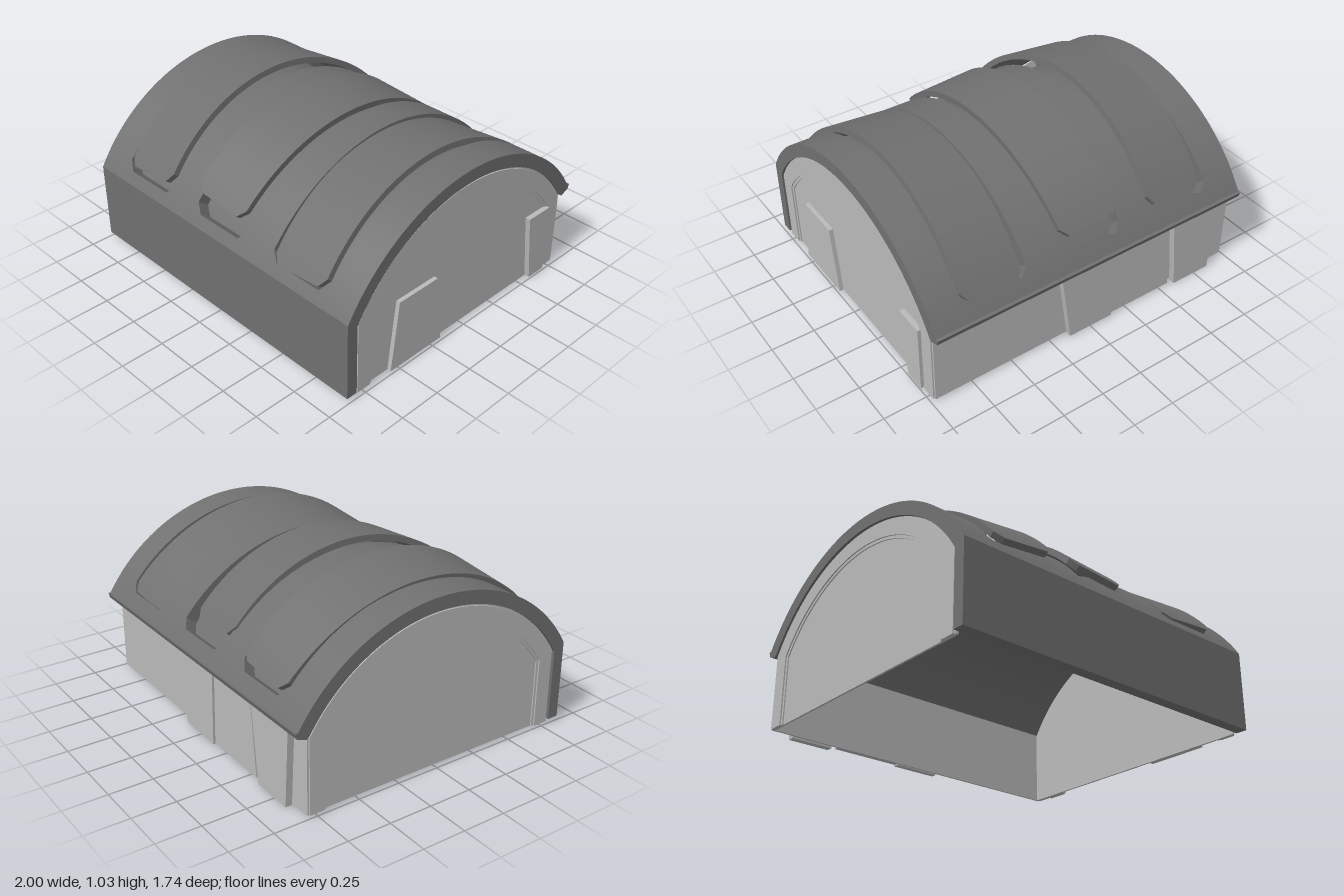
import * as THREE from 'three';
import { toCreasedNormals } from 'three/addons/utils/BufferGeometryUtils.js';

const CY = -0.037;                 // height of the vault's axis
const R_OUT = 1.012, R_IN = 0.937; // roof radii
const FRONT = 59.1, BACK = -58;    // roof edges, degrees from the ridge
const X0 = -1, X1 = 0.99;          // roof ends
const HOLE_FRONT = 55.1, HOLE_BACK = -53.2;

// Curved slab lofted through [angle, leftX, rightX] sections, angle 0 at the ridge, positive to the front
function arcSlab(sections, rOut, rIn) {
  const rings = sections.map(([deg, xl, xr]) => {
    const a = THREE.MathUtils.degToRad(deg);
    const p = (x, r) => [x, r * Math.cos(a) + CY, r * Math.sin(a)];
    return [p(xl, rOut), p(xr, rOut), p(xr, rIn), p(xl, rIn)];
  });
  const pos = [];
  const quad = (a, b, c, d) => pos.push(...a, ...b, ...c, ...a, ...c, ...d);
  for (let i = 0; i < rings.length - 1; i++) {
    for (let j = 0; j < 4; j++) {
      const k = (j + 1) % 4;
      quad(rings[i][j], rings[i + 1][j], rings[i + 1][k], rings[i][k]);
    }
  }
  quad(...rings[0]);
  quad(...[...rings[rings.length - 1]].reverse());
  const g = new THREE.BufferGeometry();
  g.setAttribute('position', new THREE.Float32BufferAttribute(pos, 3));
  return toCreasedNormals(g, 0.4);
}

// Evenly spaced sections of constant width
function span(a0, a1, xl, xr, n) {
  return Array.from({ length: n + 1 }, (_, i) => [a0 + (a1 - a0) * i / n, xl, xr]);
}

// Extrude a [z, y] outline along x
function extrudeX(shape, x0, x1) {
  const g = new THREE.ExtrudeGeometry(shape, { depth: x1 - x0, bevelEnabled: false });
  g.rotateY(Math.PI / 2);
  g.translate(x0, 0, 0);
  return toCreasedNormals(g, 0.4);
}
const outline = pts => new THREE.Shape(pts.map(([z, y]) => new THREE.Vector2(-z, y)));

// Arch with straight legs, as [z, y] points
function archPoints(r, halfWidth, y0) {
  const a = Math.asin(halfWidth / r), n = 40, pts = [[halfWidth, y0]];
  for (let i = 0; i <= n; i++) {
    const t = a - 2 * a * i / n;
    pts.push([r * Math.sin(t), r * Math.cos(t) + CY]);
  }
  pts.push([-halfWidth, y0]);
  return pts;
}

// Arched band open at the bottom
function archBand(rOut, wOut, rIn, wIn) {
  return outline([...archPoints(rOut, wOut, 0.012), ...archPoints(rIn, wIn, 0.012).reverse()]);
}

export function createModel() {
  const model = new THREE.Group();
  const dark = new THREE.MeshStandardMaterial({ color: 0x707070 });
  dark.name = 'dark grey roofing';
  const light = new THREE.MeshStandardMaterial({ color: 0xb9b9b9 });
  light.name = 'light grey wall';

  const add = (parent, name, geometry, material) => {
    const m = new THREE.Mesh(geometry, material);
    m.name = name;
    parent.add(m);
    return m;
  };
  const group = name => {
    const g = new THREE.Group();
    g.name = name;
    model.add(g);
    return g;
  };

  // Vaulted roof: full ribs between three chamfered recesses, over a continuous lining
  const roof = group('roof');
  add(roof, 'roofLining', arcSlab(span(BACK, FRONT, -0.98, 0.97, 56), R_IN, R_IN - 0.012), dark);
  for (const [a, b] of [[X0, -0.8], [-0.4, -0.2], [0.2, 0.4], [0.8, X1]]) {
    add(roof, 'roofRib', arcSlab(span(BACK, FRONT, a, b, 56), R_OUT, R_IN), dark);
  }
  for (const a of [-0.8, -0.2, 0.4]) {
    const b = a + 0.4, c = 0.05, d = 3;
    add(roof, 'roofFrontEdge', arcSlab(span(HOLE_FRONT, FRONT, a, b, 2), R_OUT, R_IN), dark);
    add(roof, 'roofBackEdge', arcSlab(span(BACK, HOLE_BACK, a, b, 3), R_OUT, R_IN), dark);
    for (const [l, r, tip] of [[a, a + c, a], [b - c, b, b]]) {
      add(roof, 'recessCorner', arcSlab([[HOLE_FRONT - d, tip, tip], [HOLE_FRONT, l, r]], R_OUT, R_IN), dark);
      add(roof, 'recessCorner', arcSlab([[HOLE_BACK, l, r], [HOLE_BACK + d, tip, tip]], R_OUT, R_IN), dark);
    }
  }

  // Overhanging back eave with a steep outer face
  add(roof, 'backEave', extrudeX(outline([
    [-0.794, 0.46], [-0.858, 0.499], [-0.875, 0.497], [-0.865, 0.466], [-0.81, 0.447],
  ].reverse()), X0, X1), dark);

  // Solid front wall below the vault
  add(model, 'frontWall', extrudeX(outline([[0.869, 0.025], [0.869, 0.483], [0.803, 0.444], [0.803, 0.025]]), X0, X1), dark);

  // Loose curved panels lying askew in the recesses: ridge x, ridge y, tilt, half angle
  const panels = group('roofPanels');
  for (const [x, y, tilt, half] of [[-0.625, 1.01, 0.11, 53.3], [-0.013, 1.003, -0.07, 49.7], [0.577, 0.975, 0.085, 54]]) {
    const w = 0.183, c = 0.04, d = 3;
    const sections = [[-half, c - w, w - c], ...span(d - half, half - d, -w, w, 48), [half, c - w, w - c]];
    const g = arcSlab(sections, R_OUT, R_OUT - 0.035);
    g.translate(0, -(R_OUT + CY), 0);
    const panel = add(panels, 'roofPanel', g, dark);
    panel.position.set(x, y, 0.022);
    panel.rotation.z = tilt;
  }

  // End walls: shallow recessed arch with a stepped frame
  for (const s of [1, -1]) {
    const end = group(s > 0 ? 'leftEnd' : 'rightEnd');
    const face = s > 0 ? X1 : X0;
    const slab = (name, shape, near, far) => {
      const xs = [face - s * near, face - s * far].sort((p, q) => p - q);
      add(end, name, extrudeX(shape, ...xs), light);
    };
    slab('endWall', outline(archPoints(0.936, 0.8, 0.012)), 0.022, 0.034);
    slab('frameLip', archBand(0.936, 0.8, 0.82, 0.687), 0.015, 0.023);
    slab('frame', archBand(0.925, 0.79, 0.836, 0.702), 0.007, 0.016);
  }

  // Tapered boards on the left end
  const boards = group('endBoards');
  for (const [x, pts] of [
    [0.992, [[0.56, 0.012], [0.51, 0.425], [0.23, 0.425], [0.18, 0.012]]],
    [0.998, [[-0.57, 0.012], [-0.52, 0.425], [-0.695, 0.425], [-0.695, 0.012]]],
  ]) {
    add(boards, 'endBoard', extrudeX(outline(pts), 0.96, x), light);
  }

  // Back wall and its patch boards
  const back = new THREE.BoxGeometry(1.96, 0.45, 0.012);
  back.translate(-0.005, 0.237, -0.794);
  add(model, 'backWall', back, light);
  const patches = group('backBoards');
  for (const [t0, t1, b0, b1, y0, depth] of [
    [-0.16, 0.21, -0.14, 0.14, 0.006, 0.035],
    [-0.52, -0.165, -0.56, -0.145, 0.012, 0.025],
    [-0.88, -0.55, -0.85, -0.6, 0, 0.038],
  ]) {
    const shape = new THREE.Shape([[b0, y0], [b1, y0], [t1, 0.45], [t0, 0.45]].map(p => new THREE.Vector2(...p)));
    const g = new THREE.ExtrudeGeometry(shape, { depth, bevelEnabled: false });
    g.translate(0, 0, -0.8 - depth);
    add(patches, 'backBoard', g, light);
  }
  return model;
}
